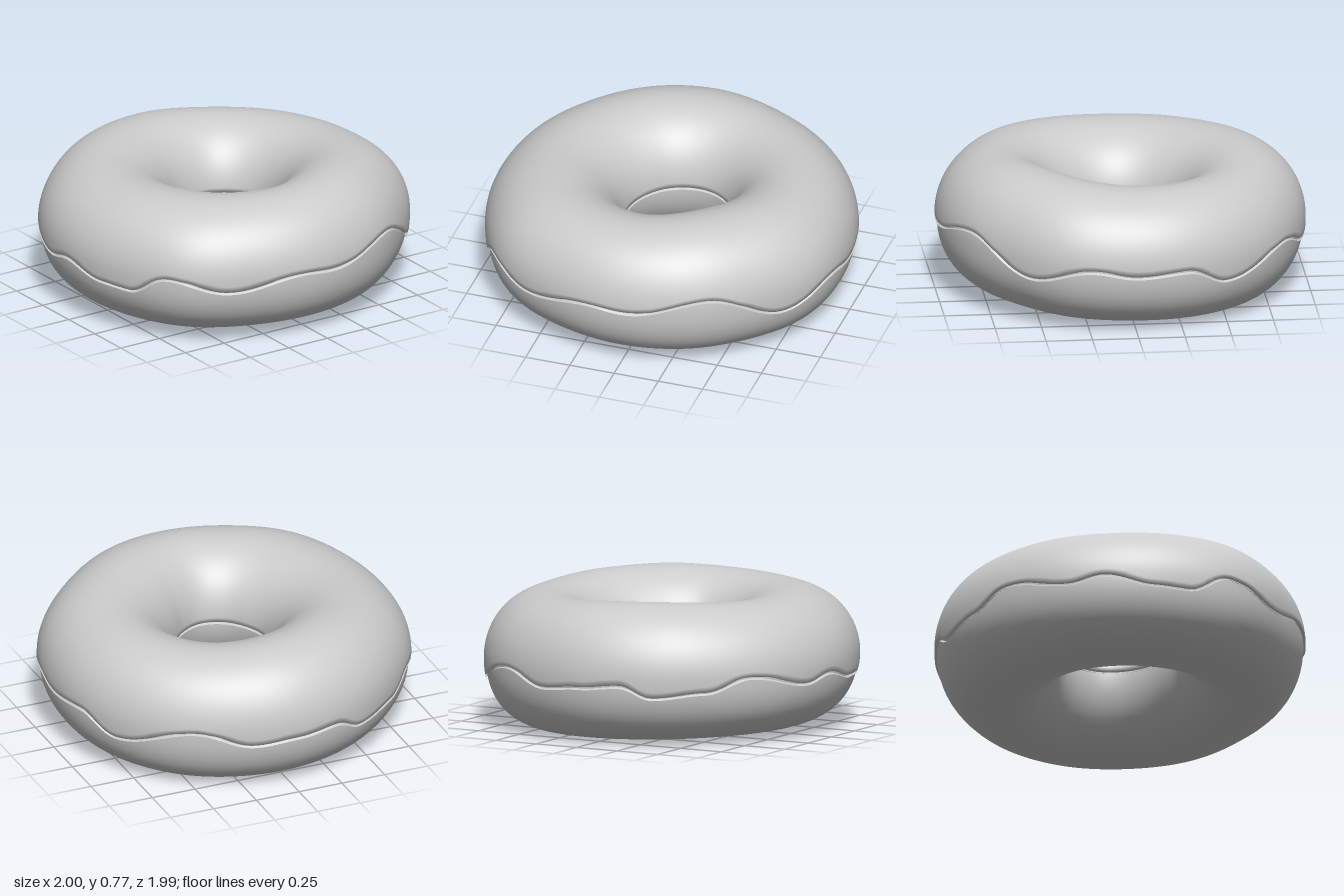
import * as THREE from 'three';

const TAU = Math.PI * 2;
const RIM_TUCK = 0.03, GAP = 0.012;

// Uneven ring, sampled at equal steps of angle from +x towards +z
const OUTER = [1.0, 1.01, 0.985, 0.99, 0.997, 1.005, 1.035, 1.01, 1.0, 1.0, 0.99, 0.995, 0.995, 0.985, 0.992, 0.997];
const INNER = [0.295, 0.28, 0.28, 0.302, 0.325, 0.315, 0.287, 0.268, 0.255, 0.255, 0.265, 0.285, 0.305, 0.32, 0.322, 0.315];
const TOP = [0.732, 0.755, 0.768, 0.755, 0.747, 0.742, 0.73, 0.735, 0.748, 0.745, 0.725, 0.725];
const BOTTOM = [0.012, 0.02, 0.03, 0.04, 0.035, 0.025, 0.022, 0.02, 0.015, 0.008, 0.0, 0.003];

// Wavy lower edge of the icing: [degrees, height] of each crest and dip
const WAVE = [
  [0, 0.325], [14, 0.358], [34, 0.285], [61, 0.455], [87, 0.375], [98, 0.387], [122, 0.32],
  [141, 0.388], [154, 0.282], [165, 0.288], [181, 0.34], [192, 0.305], [214, 0.37], [229, 0.295],
  [246, 0.268], [256, 0.33], [270, 0.31], [284, 0.29], [302, 0.365], [330, 0.255], [344, 0.34], [360, 0.325],
];

// Periodic smooth interpolation through equally spaced values
function ringValue(list, a) {
  const n = list.length, f = (a / TAU) * n, i = Math.floor(f), t = f - i;
  const p = (k) => list[(i + k + n) % n];
  const [p0, p1, p2, p3] = [p(-1), p(0), p(1), p(2)];
  return p1 + 0.5 * t * (p2 - p0 + t * (2 * p0 - 5 * p1 + 4 * p2 - p3 + t * (3 * (p1 - p2) + p3 - p0)));
}

function waveHeight(a) {
  const d = (a / TAU) * 360;
  const i = WAVE.findIndex((w) => w[0] > d);
  const [d0, y0] = WAVE[i - 1], [d1, y1] = WAVE[i];
  return y0 + (y1 - y0) * (0.5 - 0.5 * Math.cos((Math.PI * (d - d0)) / (d1 - d0)));
}

// Cross-section of the ring at one angle
function section(a) {
  const R = ringValue(OUTER, a), r = ringValue(INNER, a);
  const T = ringValue(TOP, a), B = ringValue(BOTTOM, a) - GAP;
  return { rc: (R + r) / 2, hw: (R - r) / 2, yc: (T + B) / 2, hh: (T - B) / 2 };
}

// Point on a section: t = 0 outermost, PI/2 top; the lower outer side is a little fuller
const FULL = 0.88;
function sectionPoint(s, t, inset) {
  let c = Math.cos(t), n = Math.sin(t);
  if (n < 0 && c > 0) {
    c = Math.pow(c, FULL);
    n = -Math.pow(-n, FULL);
  }
  return [s.rc + (s.hw - inset) * c, s.yc + (s.hh - inset) * n];
}

// Sweeps profile(angle) -> [[radius, y], ...] around the y axis into a smooth mesh
function sweep(name, profile, closed) {
  const U = 192, pos = [], idx = [];
  let V = 0;
  for (let u = 0; u < U; u++) {
    const a = (u / U) * TAU, pts = profile(a);
    V = pts.length;
    for (const [r, y] of pts) pos.push(r * Math.cos(a), y, r * Math.sin(a));
  }
  for (let u = 0; u < U; u++) {
    for (let v = 0; v < (closed ? V : V - 1); v++) {
      const v1 = (v + 1) % V, n = ((u + 1) % U) * V;
      const p = u * V + v, q = u * V + v1;
      idx.push(p, q, n + v, q, n + v1, n + v);
    }
  }
  const geo = new THREE.BufferGeometry();
  geo.setAttribute('position', new THREE.Float32BufferAttribute(pos, 3));
  geo.setIndex(idx);
  geo.computeVertexNormals();
  const mesh = new THREE.Mesh(geo, new THREE.MeshStandardMaterial({ color: 0xcccccc, side: THREE.DoubleSide }));
  mesh.name = name;
  return mesh;
}

// Full ring of dough, slightly inside the icing
function doughProfile(a) {
  const s = section(a), pts = [];
  for (let i = 0; i < 64; i++) pts.push(sectionPoint(s, (i / 64) * TAU, GAP));
  return pts;
}

// Icing shell from the wavy outer edge over the top to the edge inside the hole
function icingProfile(a) {
  const s = section(a), pts = [];
  const dy = (waveHeight(a) - s.yc) / s.hh;
  const t0 = dy < 0 ? -Math.asin(Math.pow(-dy, 1 / FULL)) : Math.asin(dy);
  const t1 = Math.PI - Math.asin((0.37 - s.yc) / s.hh);
  const N = 48, K = 5, edge = 0.04;
  // Rounded lip that turns under into the dough
  const lip = (k) => {
    const q = (k / K) * (Math.PI / 2);
    return [edge * (1 - Math.sin(q)), RIM_TUCK * (1 - Math.sin(q)) ** 0 * (1 - Math.cos(Math.PI / 2 - q))];
  };
  for (let k = 0; k < K; k++) {
    const [along, depth] = lip(k);
    pts.push(sectionPoint(s, t0 + edge - along, RIM_TUCK - depth));
  }
  for (let i = 0; i <= N; i++) pts.push(sectionPoint(s, t0 + edge + ((t1 - t0 - 2 * edge) * i) / N, 0));
  for (let k = K - 1; k >= 0; k--) {
    const [along, depth] = lip(k);
    pts.push(sectionPoint(s, t1 - edge + along, RIM_TUCK - depth));
  }
  return pts;
}

export function createModel() {
  const group = new THREE.Group();
  group.name = 'ringDoughnut';
  group.add(sweep('dough', doughProfile, true));
  group.add(sweep('icing', icingProfile, false));
  return group;
}
